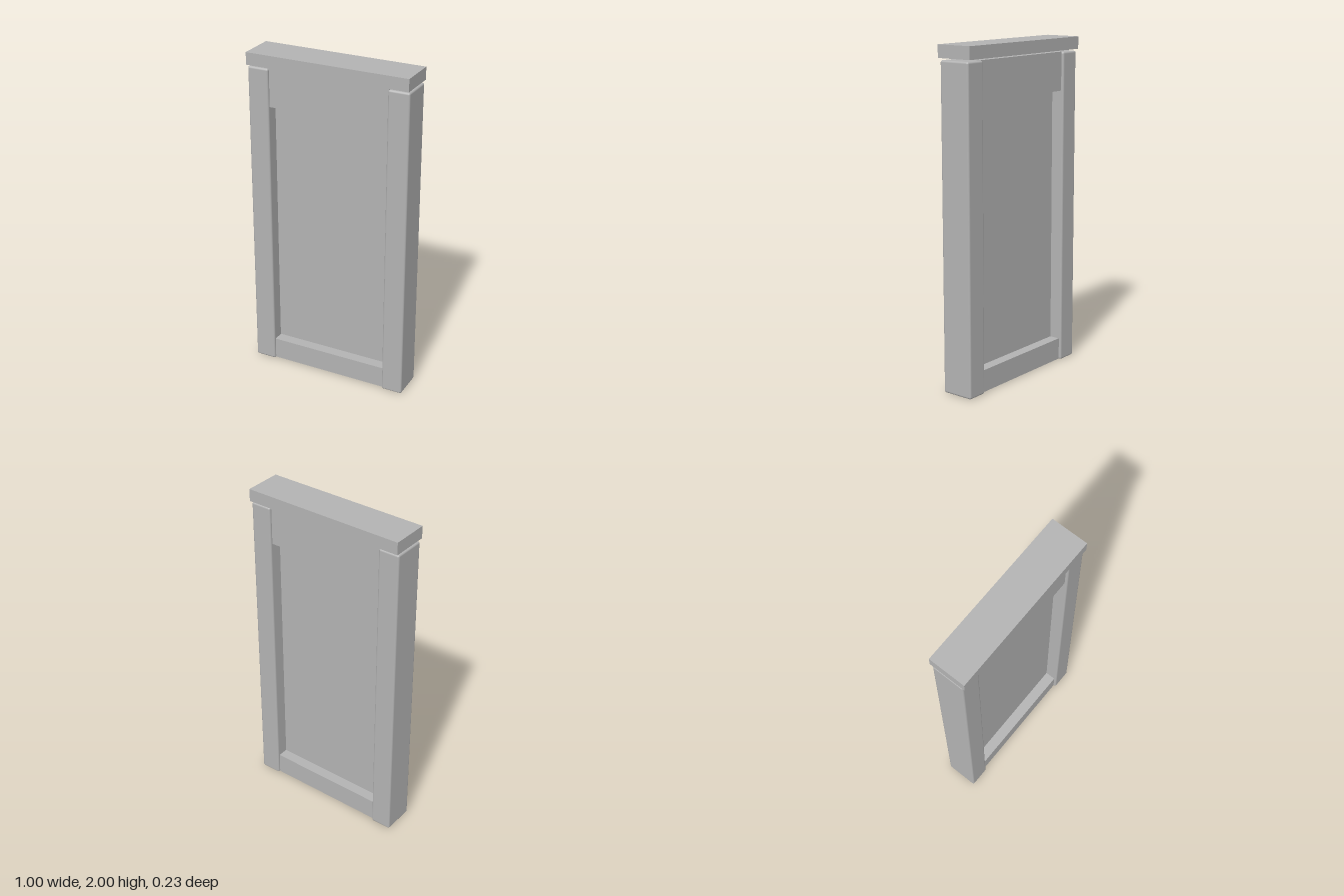
import * as THREE from 'three';
import { RoundedBoxGeometry } from 'three/addons/geometries/RoundedBoxGeometry.js';

export function createModel() {
  const group = new THREE.Group();
  const gray = new THREE.MeshStandardMaterial({ color: 0xb3b3b3 });
  gray.name = 'plainGray';

  const add = (name, geometry, x, y) => {
    const mesh = new THREE.Mesh(geometry, gray);
    mesh.name = name;
    mesh.position.set(x, y, 0);
    group.add(mesh);
  };

  // Box spanning the given heights, centred on x and z
  const board = (name, width, y0, y1, depth) =>
    add(name, new THREE.BoxGeometry(width, y1 - y0, depth), 0, (y0 + y1) / 2);

  // Side posts with softened edges
  for (const [name, side] of [['leftPost', 1], ['rightPost', -1]]) {
    add(name, new RoundedBoxGeometry(0.13, 1.915, 0.2, 2, 0.012), side * 0.435, 0.9575);
  }

  // Rails between the posts
  board('topRail', 0.742, 1.685, 1.916, 0.17);
  board('bottomRail', 0.742, 0.004, 0.137, 0.17);

  // Recessed panel, seen from both sides
  board('panel', 0.742, 0.13, 1.69, 0.04);

  // Overhanging cap, floating just above the posts
  board('cap', 1, 1.926, 2, 0.228);

  return group;
}
